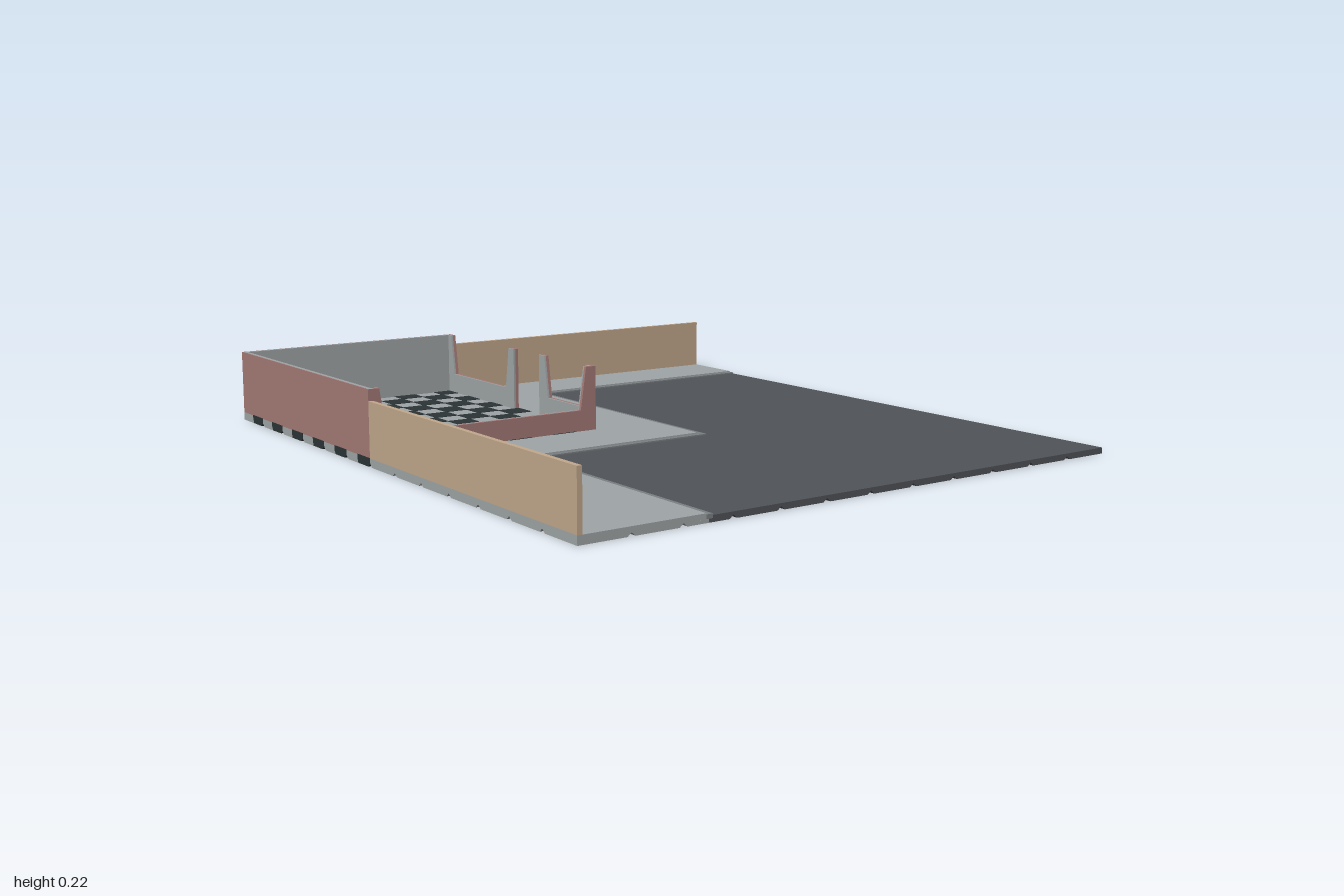
import * as THREE from 'three';

const U = 1 / 13;            // one floor square
const X = 12 * U;            // half width
const FLOOR = 0.025, WALL = 0.224, SILL = 0.09;

const mat = (name, color) => {
  const m = new THREE.MeshStandardMaterial({ color });
  m.name = name;
  return m;
};

export function createModel() {
  const model = new THREE.Group();
  const M = {
    paving: mat('light grey', 0xa0a5a7),
    road: mat('asphalt grey', 0x505358),
    dark: mat('dark tile', 0x2b3435),
    curb: mat('curb grey', 0x7b8083),
    brick: mat('brick red', 0xa47a76),
    fence: mat('tan', 0xc2a98d),
  };
  const add = (name, geo, m, parent = model) => {
    const mesh = new THREE.Mesh(geo, m);
    mesh.name = name;
    parent.add(mesh);
    return mesh;
  };
  const box = (name, m, x0, x1, y0, y1, z0, z1, parent) => {
    const b = add(name, new THREE.BoxGeometry(x1 - x0, y1 - y0, z1 - z0), m, parent);
    b.position.set((x0 + x1) / 2, (y0 + y1) / 2, (z0 + z1) / 2);
    return b;
  };
  const shapeOf = pts => new THREE.Shape(pts.map(p => new THREE.Vector2(...p)));
  // flat slab from an outline in x and z
  const slab = (name, m, pts, y0, y1) => {
    const g = new THREE.ExtrudeGeometry(shapeOf(pts), { depth: y1 - y0, bevelEnabled: false });
    add(name, g.rotateX(Math.PI / 2).translate(0, y1, 0), m);
  };

  // stepped border between pavement and road, shifted towards the road by d
  const step = d => [
    [-7 * U + d, 1], [-7 * U + d, 2 * U + d], [U + d, 2 * U + d], [U + d, -10 * U + d], [X, -10 * U + d],
  ];
  slab('pavement', M.paving, [[-X, -1], [-X, 1], ...step(-0.007), [X, -1]], 0.01, FLOOR);
  slab('curb', M.curb, [...step(-0.007), ...step(0.013).reverse()], 0.01, 0.022);
  slab('road', M.road, [...step(0.013), [X, 1]], 0.01, 0.018);

  // underside: square pads with bevelled grooves every two squares
  const pads = { paving: [], road: [], dark: [] };
  const groove = (k, count) => (k > 0 && k < count && k % 2 === 0 ? 0.012 : 0);
  for (let i = 0; i < 24; i++) for (let j = 0; j < 26; j++) {
    const xi = i - 12, zj = j - 13;
    const isDark = i < 10 && j < 12 && (i + j) % 2 === 1;
    const isRoad = (xi >= 1 && zj >= -10) || (xi >= -7 && zj >= 2);
    const out = pads[isDark ? 'dark' : isRoad ? 'road' : 'paving'];
    const x0 = xi * U, x1 = x0 + U, z0 = zj * U, z1 = z0 + U;
    const a0 = x0 + groove(i, 24), a1 = x1 - groove(i + 1, 24);
    const c0 = z0 + groove(j, 26), c1 = z1 - groove(j + 1, 26);
    const top = [[x0, 0.01, z0], [x1, 0.01, z0], [x1, 0.01, z1], [x0, 0.01, z1]];
    const bot = [[a0, 0, c0], [a1, 0, c0], [a1, 0, c1], [a0, 0, c1]];
    const quad = (a, b, c, d) => out.push(...a, ...b, ...c, ...a, ...c, ...d);
    quad(...bot);
    for (let k = 0; k < 4; k++) {
      const n = (k + 1) % 4;
      quad(top[k], top[n], bot[n], bot[k]);
    }
    // checker squares pass through the floor
    if (isDark) box('darkFloorTile', M.dark, x0 - 0.001, x1 + 0.001, 0.009, FLOOR + 0.0015, z0 - 0.001, z1 + 0.001);
  }
  for (const key in pads) {
    const g = new THREE.BufferGeometry();
    g.setAttribute('position', new THREE.Float32BufferAttribute(pads[key], 3));
    g.computeVertexNormals();
    add(key + 'Underside', g, M[key]);
  }

  // building: full back and left walls
  const building = new THREE.Group();
  building.name = 'building';
  model.add(building);
  const R = -2 * U, F = -U, T = 0.004, W = 0.016;
  box('backWallOutside', M.brick, -X, R, FLOOR, WALL, -1, -1 + T, building);
  box('backWallInside', M.paving, -X + T, R - T, FLOOR, WALL, -1 + T, -1 + W, building);
  box('leftWallOutside', M.brick, -X, -X + T, FLOOR, WALL, -1, F, building);
  box('leftWallInside', M.paving, -X + T, -X + W, FLOOR, WALL, -1 + T, F - T, building);

  // wall with a wide tapered window opening, cut open at the top
  const notched = (s0, s1, inset, depth, z) => {
    const g = new THREE.ExtrudeGeometry(shapeOf([
      [s0 + inset, FLOOR], [s1 - inset, FLOOR], [s1 - inset, WALL], [s1 - 0.035, WALL],
      [s1 - 0.055, SILL], [s0 + 0.055, SILL], [s0 + 0.035, WALL], [s0 + inset, WALL],
    ]), { depth, bevelEnabled: false });
    return g.translate(0, 0, z);
  };
  const windowWall = (name, s0, s1, face, turned) => {
    const layers = [
      ['Outside', M.brick, notched(s0, s1, 0, 0.01, face - 0.01)],
      ['Inside', M.paving, notched(s0, s1, 0.002, 0.006, face - 0.016)],
    ];
    for (const [side, m, g] of layers) {
      if (turned) g.rotateY(Math.PI / 2);
      add(name + side, g, m, building);
    }
  };
  windowWall('frontWall', -X, R, F, false);
  windowWall('rightWallFront', U, 5 * U, R, true);
  windowWall('rightWallBack', 7 * U, 1 - 0.001, R, true);

  // boundary fences
  box('backFence', M.fence, R, X, FLOOR, 0.19, -1, -1 + 0.015);
  box('leftFence', M.fence, -X, -X + 0.015, FLOOR, 0.19, F, 1);

  return model;
}
